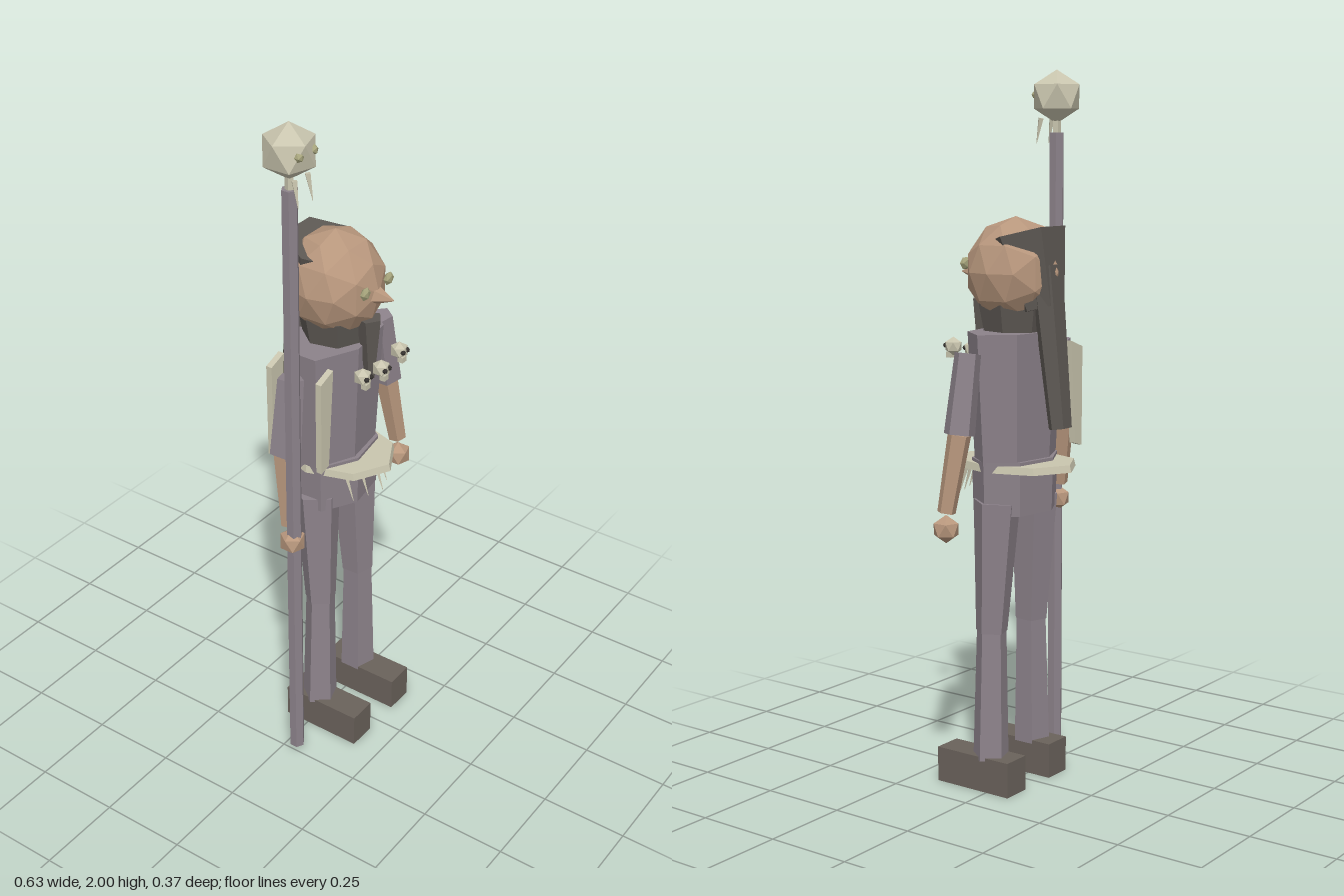
import * as THREE from 'three';

const CX = 0.014; // body centre line

export function createModel() {
  const model = new THREE.Group();
  const paint = (name, color) => {
    const m = new THREE.MeshStandardMaterial({ color, flatShading: true });
    m.name = name;
    return m;
  };
  const cloth = paint('cloth', 0x8c828a);
  const skin = paint('skin', 0xb8977d);
  const bone = paint('bone', 0xc9c5ae);
  const boot = paint('boot leather', 0x6a625b);
  const hair = paint('hair', 0x5d5853);
  const eye = paint('eye', 0xa6a47c);
  const dark = paint('socket', 0x35322f);

  function add(name, geo, mat, x = 0, y = 0, z = 0, parent = model) {
    const m = new THREE.Mesh(geo, mat);
    m.name = name;
    m.position.set(x, y, z);
    parent.add(m);
    return m;
  }
  // tapered faceted limb between two points
  function limb(name, a, b, ra, rb, mat, sides = 5, turn = 0) {
    const A = new THREE.Vector3(...a), B = new THREE.Vector3(...b);
    const axis = A.clone().sub(B);
    const geo = new THREE.CylinderGeometry(ra, rb, axis.length(), sides).rotateY(turn);
    const m = add(name, geo, mat, ...A.clone().add(B).multiplyScalar(0.5).toArray());
    m.quaternion.setFromUnitVectors(new THREE.Vector3(0, 1, 0), axis.normalize());
    return m;
  }
  // icosahedron standing on a corner
  const gem = (r) => new THREE.IcosahedronGeometry(r, 0).rotateZ(Math.atan2(2, 1 + Math.sqrt(5)));

  // torso: seven-sided, with one corner at the left side
  const section = (top, bottom, h, depth) =>
    new THREE.CylinderGeometry(top, bottom, h, 7).rotateY(Math.PI / 2).scale(1, 1, depth);
  add('chest', section(0.175, 0.15, 0.36, 0.61), cloth, CX, 1.11, 0);
  add('pelvis', section(0.15, 0.145, 0.15, 0.7), cloth, CX, 0.865, 0);
  add('collar', new THREE.CylinderGeometry(0.105, 0.09, 0.08, 7), hair, CX, 1.325, 0);

  // belt with hanging teeth
  add('belt', new THREE.CylinderGeometry(0.97, 1, 0.02, 8).scale(0.142, 1, 0.187), bone, CX, 0.921, 0);
  for (let i = -2; i <= 2; i++) {
    const x = CX + i * 0.046, z = 0.155 - Math.abs(i) * 0.018;
    limb('beltTooth', [x, 0.92, z - 0.02], [x + 0.004, 0.835, z + 0.005], 0.008, 0.001, bone, 4);
  }

  // head and face
  add('head', new THREE.IcosahedronGeometry(1, 1).scale(0.134, 0.15, 0.14), skin, CX, 1.45, 0);
  for (const s of [-1, 1]) {
    add('eye', new THREE.IcosahedronGeometry(0.019, 0).scale(1, 1, 0.6), eye, CX + s * 0.054, 1.47, 0.133);
  }
  limb('nose', [CX, 1.443, 0.185], [CX, 1.443, 0.125], 0.002, 0.028, skin, 5);
  limb('beard', [CX, 1.37, 0.11], [CX, 1.19, 0.115], 0.036, 0.014, hair, 5);

  // hair
  limb('hairCap', [CX, 1.55, -0.03], [CX, 1.35, -0.085], 0.113, 0.065, hair, 6, Math.PI / 6);
  limb('braid', [CX, 1.47, -0.1], [CX, 1.03, -0.15], 0.058, 0.04, hair, 6, Math.PI / 6).scale.z = 0.7;

  // necklace of small skulls
  for (const s of [-1, 0, 1]) {
    const skull = new THREE.Group();
    skull.name = 'necklaceSkull';
    skull.position.set(CX + s * 0.087, s ? 1.243 : 1.228, 0.15);
    model.add(skull);
    add('cranium', gem(0.026), bone, 0, 0, 0, skull);
    add('jaw', new THREE.BoxGeometry(0.02, 0.016, 0.016), bone, 0, -0.024, 0.01, skull);
    for (const e of [-1, 1]) {
      add('socket', new THREE.IcosahedronGeometry(0.008, 0), dark, e * 0.01, 0.002, 0.019, skull);
    }
  }

  // arms: shoulder, elbow, wrist, hand
  const arms = [
    ['left', [0.23, 1.245, 0], [0.262, 1.03, 0.005], [0.288, 0.82, 0.03], [0.277, 0.772, 0.04]],
    ['right', [-0.19, 1.245, 0], [-0.225, 1.03, 0.005], [-0.247, 0.82, 0.035], [-0.252, 0.772, 0.045]],
  ];
  for (const [side, shoulder, elbow, wrist, hand] of arms) {
    limb(side + 'UpperArm', shoulder, elbow, 0.037, 0.044, cloth, 5, Math.PI / 2);
    limb(side + 'Forearm', elbow, wrist, 0.033, 0.026, skin, 5, Math.PI / 2);
    add(side + 'Hand', gem(0.039), skin, ...hand);
  }

  // legs and boots
  for (const [side, s] of [['left', 1], ['right', -1]]) {
    const x = (d) => CX + s * d;
    limb(side + 'Thigh', [x(0.088), 0.825, 0], [x(0.094), 0.455, 0.015], 0.068, 0.046, cloth, 5, s * Math.PI / 2);
    limb(side + 'Shin', [x(0.094), 0.47, 0.015], [x(0.099), 0.09, 0.015], 0.043, 0.052, cloth, 5, s * Math.PI / 2);
    add(side + 'Boot', new THREE.BoxGeometry(0.085, 0.1, 0.245), boot, x(0.1), 0.05, 0.048);
  }

  // bone plates hanging under the right arm, front and back
  const plate = new THREE.Shape([
    [0.028, 0.15], [-0.028, 0.13], [-0.026, -0.15], [0.008, -0.14],
  ].map((p) => new THREE.Vector2(...p)));
  const plateGeo = new THREE.ExtrudeGeometry(plate, { depth: 0.018, bevelEnabled: false });
  add('frontSidePlate', plateGeo, bone, -0.137, 1.105, 0.062);
  add('backSidePlate', plateGeo, bone, -0.137, 1.105, -0.1);

  // staff topped with a skull
  const SX = -0.25, SZ = 0.05;
  add('staff', new THREE.CylinderGeometry(0.022, 0.022, 1.79, 6), cloth, SX, 0.93, SZ);
  add('staffNeck', new THREE.CylinderGeometry(0.012, 0.012, 0.08, 5), bone, SX, 1.85, SZ);
  add('staffSkull', gem(0.075), bone, SX, 1.925, SZ);
  for (const s of [-1, 1]) {
    add('staffSkullEye', new THREE.IcosahedronGeometry(0.014, 0), eye, SX + s * 0.029, 1.93, SZ + 0.05);
    limb('staffTooth', [SX + s * 0.027, 1.865, SZ + 0.035], [SX + s * 0.03, 1.795, SZ + 0.048], 0.009, 0.001, bone, 4);
  }
  return model;
}
